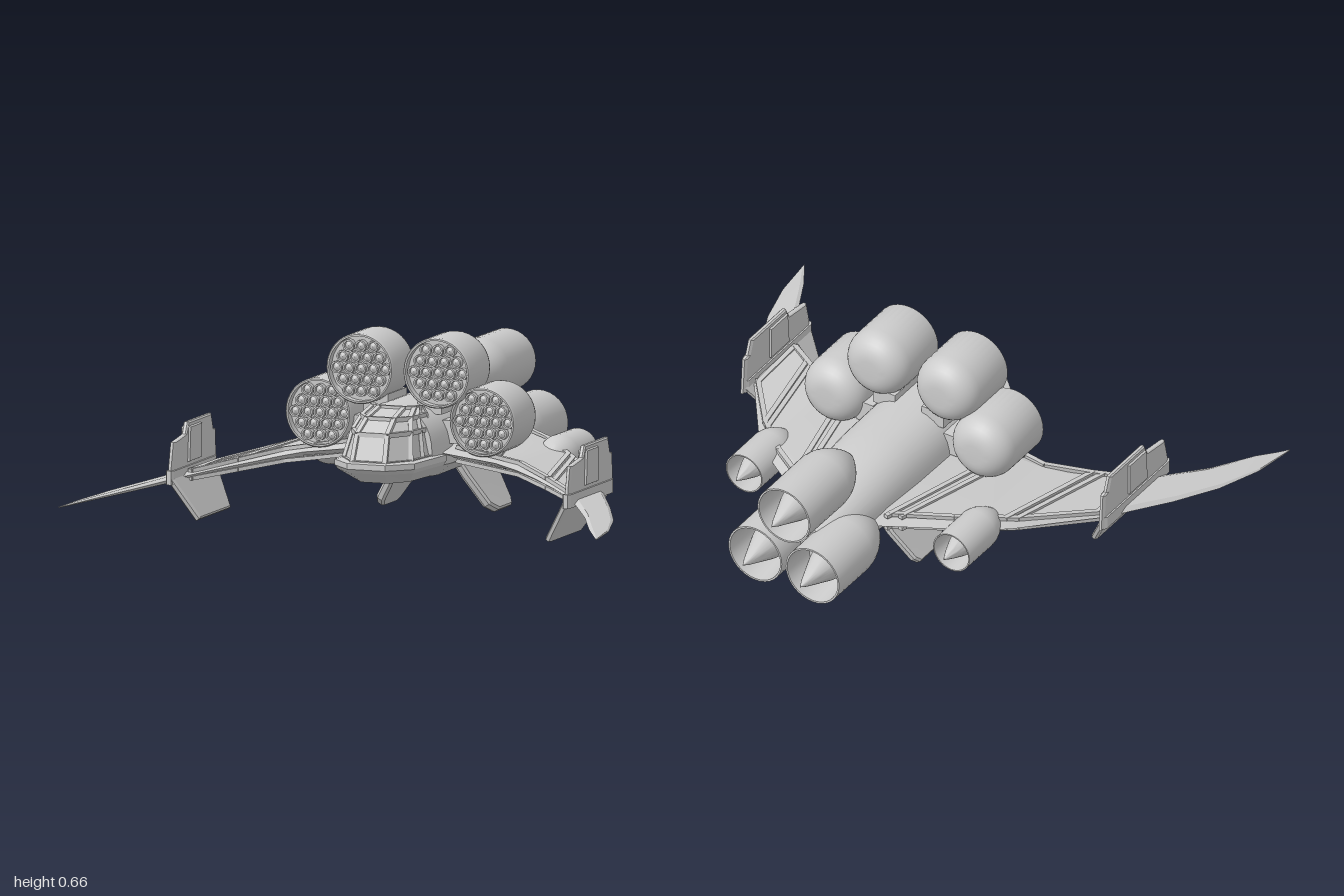
import * as THREE from 'three';
import { toCreasedNormals } from 'three/addons/utils/BufferGeometryUtils.js';

const V = (x, y, z) => new THREE.Vector3(x, y, z);

export function createModel() {
  const model = new THREE.Group();
  const mat = new THREE.MeshStandardMaterial({ color: 0xcccccc });

  function add(geo, name, parent = model) {
    const mesh = new THREE.Mesh(geo, mat);
    mesh.name = name;
    parent.add(mesh);
    return mesh;
  }

  // Skin between rings of points, capped at both ends, always facing outward
  function loft(rings, crease = 0.5) {
    const tris = [], n = rings[0].length;
    for (let i = 0; i < rings.length - 1; i++) {
      for (let j = 0; j < n; j++) {
        const k = (j + 1) % n, a = rings[i], b = rings[i + 1];
        tris.push([a[j], a[k], b[k]], [a[j], b[k], b[j]]);
      }
    }
    const cap = (ring, flip) => {
      const c = V(0, 0, 0);
      ring.forEach(p => c.addScaledVector(p, 1 / n));
      ring.forEach((p, j) => {
        const q = ring[(j + 1) % n];
        tris.push(flip ? [c, q, p] : [c, p, q]);
      });
    };
    cap(rings[0], true);
    cap(rings[rings.length - 1], false);
    const mid = rings[0][0];
    const volume = tris.reduce((s, [a, b, c]) => s + a.clone().sub(mid)
      .dot(b.clone().sub(mid).cross(c.clone().sub(mid))), 0);
    const pts = tris.flatMap(([a, b, c]) => (volume < 0 ? [a, c, b] : [a, b, c]));
    return toCreasedNormals(new THREE.BufferGeometry().setFromPoints(pts), crease);
  }

  // Body of revolution along z from [radius, z] pairs
  function turned(profile, segments = 32) {
    const geo = new THREE.LatheGeometry(profile.map(([r, z]) => new THREE.Vector2(r, z)), segments);
    return toCreasedNormals(geo.rotateX(Math.PI / 2), 0.6);
  }

  // Straight bar between two points
  function bar(a, b, w, h, name) {
    const mesh = add(new THREE.BoxGeometry(w, h, a.distanceTo(b)), name);
    mesh.position.copy(a).add(b).multiplyScalar(0.5);
    mesh.lookAt(b);
  }

  // Flat plate with a thin bevelled edge
  function plate(pts, normal, thick, name) {
    const c = V(0, 0, 0);
    pts.forEach(p => c.addScaledVector(p, 1 / pts.length));
    const ring = (d, k) => pts.map(p => p.clone().lerp(c, k).addScaledVector(normal, d * thick));
    add(loft([ring(-0.5, 0.06), ring(-0.25, 0), ring(0.25, 0), ring(0.5, 0.06)], 0.3), name);
  }

  // Fuselage: arched spine over a bevelled belly [z, half width, base, top, belly]
  const hull = [[0.27, 0.15, 0.26, 0.425, 0.18], [0.15, 0.175, 0.26, 0.43, 0.175],
    [-0.2, 0.17, 0.26, 0.43, 0.175], [-0.4, 0.16, 0.26, 0.415, 0.18], [-0.68, 0.11, 0.25, 0.33, 0.2]];
  add(loft(hull.map(([z, w, base, top, belly]) => {
    const ring = [];
    for (let i = 0; i <= 16; i++) {
      const a = Math.PI * i / 16, c = Math.cos(a);
      ring.push(V(w * Math.sign(c) * Math.abs(c) ** 0.85, base + (top - base) * Math.sin(a) ** 0.85, z));
    }
    ring.push(V(-w, 0.22, z), V(-w * 0.7, belly, z), V(w * 0.7, belly, z), V(w, 0.22, z));
    return ring;
  })), 'fuselage');

  // Cockpit: eight-cornered outlines stacked by height
  const outline = (y, back, w, z1, nose, zf) => [V(w, y, back), V(w * 0.85, y, z1), V(nose, y, zf),
    V(-nose, y, zf), V(-w * 0.85, y, z1), V(-w, y, back)];
  add(loft([outline(0.18, 0.2, 0.12, 0.36, 0.05, 0.43), outline(0.22, 0.2, 0.165, 0.42, 0.065, 0.495),
    outline(0.235, 0.2, 0.175, 0.43, 0.07, 0.51), outline(0.255, 0.2, 0.175, 0.43, 0.07, 0.51),
    outline(0.26, 0.2, 0.15, 0.41, 0.06, 0.49)], 0.2), 'cockpitTub');
  const canopy = [outline(0.255, 0.22, 0.145, 0.4, 0.06, 0.485), outline(0.35, 0.22, 0.125, 0.36, 0.055, 0.45),
    outline(0.395, 0.22, 0.105, 0.32, 0.05, 0.375), outline(0.42, 0.22, 0.09, 0.25, 0.045, 0.27)];
  add(loft(canopy, 0.2), 'canopy');
  canopy.forEach((ring, i) => {
    for (let j = 0; j < 6; j++) {
      if (j < 5) bar(ring[j], ring[j + 1], 0.016, 0.016, 'canopyFrame');
      if (i < 3) bar(ring[j], canopy[i + 1][j], 0.016, 0.016, 'canopyFrame');
    }
    if (i < 3) for (const s of [1, -1]) {
      const side = r => r[s > 0 ? 0 : 5].clone().lerp(r[s > 0 ? 1 : 4], 0.55);
      bar(side(ring), side(canopy[i + 1]), 0.014, 0.014, 'canopyFrame');
    }
  });

  // Rocket engine: hollow nozzle, bullet nose and a pointed plug
  function engine(x, y, zBack, zNose, r, plug, name) {
    const g = new THREE.Group();
    g.name = name;
    g.position.set(x, y, 0);
    const deep = zBack + r * 1.3, shoulder = zNose - r * 1.7;
    const profile = [[0, deep], [r * 0.8, deep], [r * 0.94, zBack], [r, zBack], [r * 1.01, shoulder]];
    for (let i = 1; i <= 10; i++) {
      const t = i / 10;
      profile.push([r * (1 - t ** 1.9), shoulder + t * (zNose - shoulder)]);
    }
    add(turned(profile), 'engineShell', g);
    const tip = zBack - plug;
    add(turned([[0, tip], [r * 0.14, tip + plug * 0.4], [r * 0.3, zBack],
      [r * 0.52, zBack + r * 0.6], [r * 0.7, deep + 0.002]], 24), 'enginePlug', g);
    model.add(g);
  }
  engine(0, 0.44, -0.8, -0.37, 0.108, 0.08, 'upperEngine');

  // Rocket pod: rounded rear, recessed front full of tubes
  function pod(x, y, zBack, zFront, r) {
    const g = new THREE.Group();
    g.name = 'rocketPod';
    g.position.set(x, y, 0);
    const profile = [[0, zBack]], round = 0.085;
    for (let i = 0; i <= 8; i++) {
      const a = Math.PI / 2 * i / 8;
      profile.push([r - round + round * Math.sin(a), zBack + round * (1 - Math.cos(a))]);
    }
    profile.push([r, zFront - 0.006], [r - 0.004, zFront], [r * 0.92, zFront], [r * 0.92, zFront - 0.03], [0, zFront - 0.03]);
    add(turned(profile, 36), 'podShell', g);
    for (let row = -2; row <= 2; row++) {
      const n = 5 - Math.abs(row);
      for (let i = 0; i < n; i++) {
        const px = (i - (n - 1) / 2) * 0.045, py = row * 0.039;
        const tube = turned([[0.021, zFront - 0.031], [0.021, zFront - 0.008], [0.015, zFront - 0.008],
          [0.014, zFront - 0.02], [0, zFront - 0.012]], 12);
        add(tube, 'rocketTube', g).position.set(px, py, 0);
      }
    }
    model.add(g);
  }

  // Wing stations: x, y, trailing z, leading z, thickness
  const wing = [[0.1, 0.27, -0.52, 0.21, 0.05], [0.36, 0.235, -0.32, 0.2, 0.046], [0.44, 0.218, -0.25, 0.215, 0.042],
    [0.52, 0.2, -0.16, 0.25, 0.038], [0.62, 0.18, -0.02, 0.32, 0.032], [0.72, 0.158, 0.12, 0.4, 0.026],
    [0.85, 0.13, 0.36, 0.6, 0.018], [0.93, 0.115, 0.53, 0.76, 0.012], [0.98, 0.104, 0.7, 0.84, 0.008],
    [1, 0.1, 0.86, 0.873, 0.004]];

  for (const s of [1, -1]) {
    add(loft(wing.map(([x, y, zt, zl, t]) => {
      const c = (zl - zt) * 0.12, h = t / 2;
      return [V(s * x, y, zl), V(s * x, y + h, zl - c), V(s * x, y + h, zt + c),
        V(s * x, y, zt), V(s * x, y - h, zt + c), V(s * x, y - h, zl - c)];
    }), 0.3), 'wing');

    // Raised spars and ribs on both wing faces
    const skin = (x, z, side) => {
      const i = Math.max(1, wing.findIndex(w => w[0] >= x)), [a, b] = [wing[i - 1], wing[i]];
      const k = (x - a[0]) / (b[0] - a[0]);
      return V(s * x, THREE.MathUtils.lerp(a[1], b[1], k) + side * THREE.MathUtils.lerp(a[4], b[4], k) / 2, z);
    };
    const ribs = [[0.18, -0.43, 0.32, 0.17], [0.22, -0.4, 0.36, 0.17], [0.49, -0.15, 0.58, 0.27],
      [0.52, -0.12, 0.61, 0.29], [0.7, 0.12, 0.71, 0.37],
      [0.18, -0.41, 0.36, -0.275], [0.36, -0.275, 0.52, -0.115], [0.52, -0.115, 0.71, 0.13],
      [0.2, 0.165, 0.44, 0.175], [0.44, 0.175, 0.58, 0.265], [0.58, 0.265, 0.71, 0.365]];
    for (const [x1, z1, x2, z2] of ribs) {
      for (const side of [1, -1]) bar(skin(x1, z1, side), skin(x2, z2, side), 0.018, 0.014, 'wingRib');
    }

    // Wing tip fins: upright plate with panels and a canted lower plate
    const upright = (x, pts) => pts.map(([z, y]) => V(s * x, y, z));
    plate(upright(0.738, [[0.49, 0.14], [0.49, 0.2], [0.47, 0.285], [0.36, 0.3], [0.34, 0.34], [0.12, 0.34],
      [0.1, 0.285], [0.08, 0.28], [0.07, 0.14]]), V(1, 0, 0), 0.02, 'upperTipFin');
    plate(upright(0.738, [[0.35, 0.2], [0.34, 0.325], [0.23, 0.325], [0.23, 0.2]]), V(1, 0, 0), 0.034, 'tipFinPanel');
    plate(upright(0.738, [[0.5, 0.14], [0.5, 0.19], [0.08, 0.19], [0.08, 0.14]]), V(1, 0, 0), 0.03, 'tipFinBase');
    plate([[0.74, 0.165, 0.5], [0.65, 0.017, 0.45], [0.65, 0.017, 0.16], [0.74, 0.165, 0.075]]
      .map(([x, y, z]) => V(s * x, y, z)), V(s * 0.85, -0.52, 0).normalize(), 0.025, 'lowerTipFin');

    // Splayed belly fins
    plate([[0.1, 0.2, -0.06], [0.135, 0.14, -0.075], [0.2, 0.035, -0.115], [0.217, 0.012, -0.16],
      [0.217, 0.012, -0.28], [0.205, 0.03, -0.3], [0.135, 0.14, -0.34], [0.1, 0.2, -0.35]]
      .map(([x, y, z]) => V(s * x, y, z)), V(s * 0.85, 0.53, 0).normalize(), 0.034, 'bellyFin');

    engine(s * 0.118, 0.23, -0.8, -0.4, 0.11, 0.08, 'lowerEngine');
    engine(s * 0.427, 0.205, -0.395, -0.1, 0.075, 0.05, 'wingEngine');
    pod(s * 0.143, 0.54, -0.045, 0.215, 0.124);
    pod(s * 0.305, 0.375, -0.07, 0.195, 0.122);

    // Pylons joining the pods to the fuselage
    bar(V(s * 0.1, 0.42, -0.01), V(s * 0.1, 0.42, 0.17), 0.09, 0.06, 'upperPylon');
    bar(V(s * 0.18, 0.33, -0.01), V(s * 0.18, 0.33, 0.16), 0.07, 0.08, 'lowerPylon');
  }
  return model;
}
